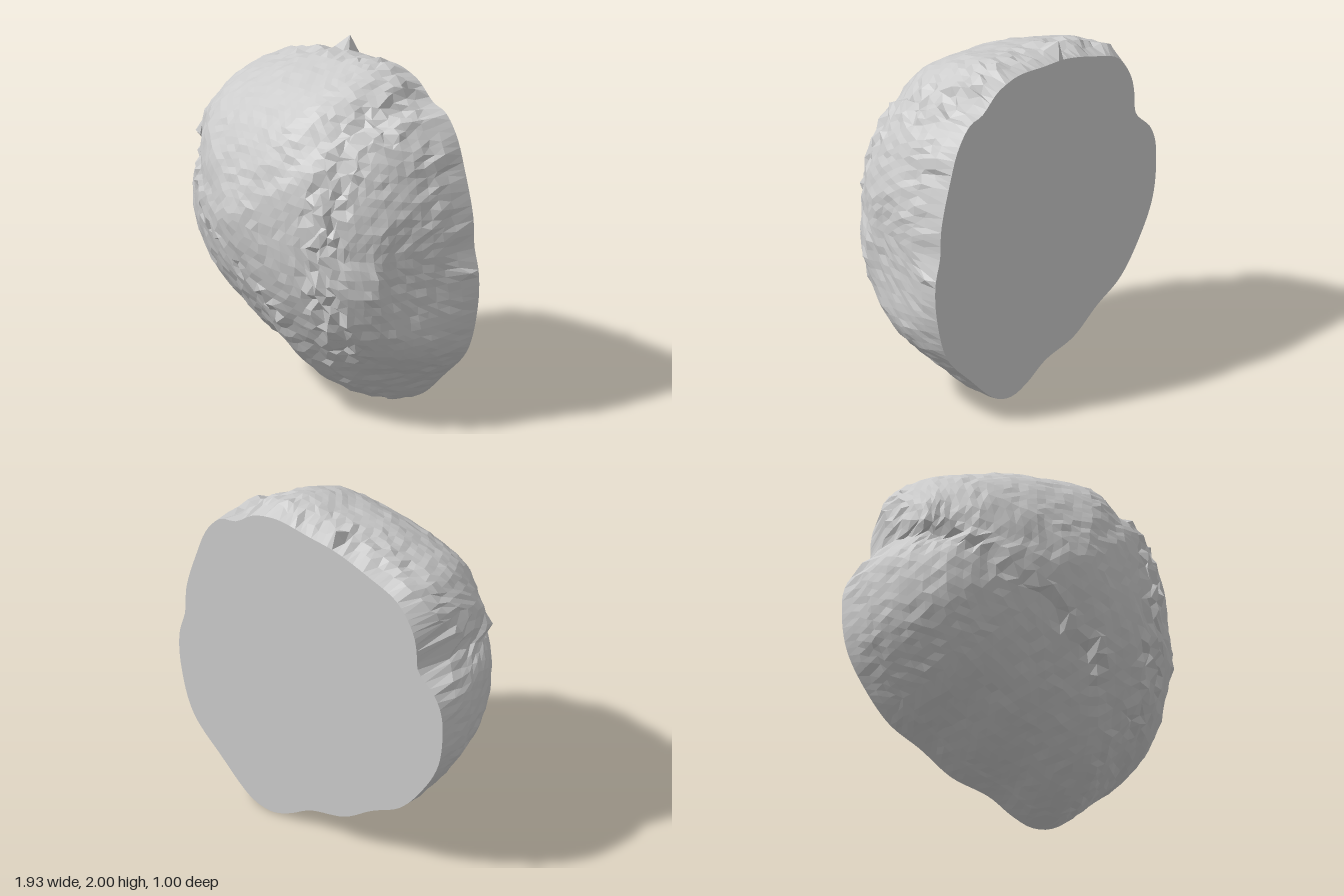
import * as THREE from 'three';

const BACK = -0.495, DEPTH = 0.995;
const CENTRE = new THREE.Vector2(0, 1.17);
const { smoothstep } = THREE.MathUtils;

// Widest contour of the rock, clockwise from the top
const OUTLINE = [
  [0.28, 1.98], [0.42, 1.93], [0.55, 1.8], [0.65, 1.77], [0.75, 1.66], [0.83, 1.46],
  [0.9, 1.22], [0.91, 1.05], [0.95, 0.9], [0.94, 0.7], [0.85, 0.42], [0.65, 0.22],
  [0.42, 0.03], [0.28, 0], [0.15, 0.04], [0, 0.12], [-0.25, 0.18], [-0.45, 0.3],
  [-0.65, 0.4], [-0.8, 0.56], [-0.93, 0.78], [-0.965, 1.0], [-0.94, 1.22], [-0.84, 1.36],
  [-0.83, 1.5], [-0.8, 1.62], [-0.68, 1.78], [-0.45, 1.87], [-0.2, 1.94], [0, 1.96],
];

// Small chips that stick out of the surface
const CHIPS = [
  [-0.16, 2.0, -0.46], [0.965, 0.92, -0.43], [0.81, 0.85, 0.15],
  [0.57, 0.9, 0.36], [-0.81, 1.38, 0.12],
];

function seeded(seed) {
  return () => {
    seed = (seed * 16807) % 2147483647;
    return seed / 2147483647 - 0.5;
  };
}

// Signed distance above the diagonal crack across the front
const aboveCrack = (x, y) => (y - (1.38 - 0.72 * (x + 0.8))) * 0.81;

// Point of the dome on the ray through contour point p; u runs from 0 (front) to 1 (rim)
function domePoint(p, u) {
  const dx = p.x - CENTRE.x, dy = p.y - CENTRE.y, len = Math.hypot(dx, dy);
  const cx = dx / len, cy = dy / len;
  const phi = (1 - u) * Math.PI / 2, up = Math.sin(phi);

  // Sides are boxier, the underside tapers more
  let power = cx * cx * (cx > 0 ? 0.69 : 0.76) + cy * cy * (cy > 0 ? 0.87 : 1.05);
  // Upright wall of the upper slab on the right-hand side
  const wall = Math.exp(-Math.pow((Math.atan2(cy, -cx) - 0.33) / 0.25, 2));
  power -= 0.3 * wall * (1 - smoothstep(up, 0.3, 0.65));

  // Slightly pointed front
  const h = Math.pow(up, power)
    - 0.025 * smoothstep(u, 0, 0.2) * (1 - smoothstep(u, 0.3, 0.6));
  // The top curls inward just before the flat back
  const curl = smoothstep(cy, -0.1, 0.3) * (1 - smoothstep(cx, 0.35, 0.75))
    * (1 - smoothstep(h, 0, 0.14));
  const r = Math.cos(phi) * (1 - 0.065 * curl);
  const z = BACK + DEPTH * h;
  // Steep flank on the left-hand side
  const x = Math.min(CENTRE.x + dx * r, 0.82 - 0.3 * Math.min(z, 0));
  return new THREE.Vector3(x, CENTRE.y + dy * r, z);
}

function rockGeometry() {
  const SECTORS = 5, RINGS = 30;
  const rand = seeded(4711);
  const curve = new THREE.CatmullRomCurve3(
    OUTLINE.map(([x, y]) => new THREE.Vector3(x, y, 0)), true, 'centripetal');
  const id = (k, n) => (k === 0 ? 0 : 1 + SECTORS * k * (k - 1) / 2 + n % (SECTORS * k));
  const verts = [new THREE.Vector3(CENTRE.x, CENTRE.y, BACK + DEPTH)];

  // Ring k holds k points per sector, so that the facets stay even in size
  for (let k = 1; k <= RINGS; k++) {
    const u = k / RINGS, count = SECTORS * k;
    for (let n = 0; n < count; n++) {
      const v = domePoint(curve.getPointAt(n / count), u);
      if (k < RINGS) {
        // Stepped ledge along the crack, and a broken band down the left side
        const s = aboveCrack(v.x, v.y), onFront = v.x < 0.4 && u < 0.9;
        if (onFront) v.z -= 0.025 * (1 - smoothstep(s, -0.03, 0.03));
        const broken = (onFront && Math.abs(s) < 0.05) ||
          (Math.abs(v.x - 0.57) < 0.11 && v.y > 0.4);
        const rough = broken ? 0.045 : u > 0.88 && v.y > 1.2 ? 0.03 : 0.012;
        v.add(new THREE.Vector3(rand(), rand(), rand()).multiplyScalar(rough));
        v.z = Math.max(v.z, BACK);
      }
      verts.push(v);
    }
  }

  // Pull the nearest vertex out to each chip
  const inner = verts.slice(0, id(RINGS, 0));
  for (const c of CHIPS) {
    const tip = new THREE.Vector3(...c);
    inner.reduce((p, q) => (q.distanceTo(tip) < p.distanceTo(tip) ? q : p)).copy(tip);
  }

  // Dome facets
  const index = [];
  for (let k = 1; k <= RINGS; k++) {
    for (let s = 0; s < SECTORS; s++) {
      for (let i = 0; i < k; i++) {
        const o = s * k + i, n = s * (k - 1) + i;
        index.push(id(k, o), id(k - 1, n), id(k, o + 1));
        if (i < k - 1) index.push(id(k - 1, n), id(k - 1, n + 1), id(k, o + 1));
      }
    }
  }

  // Flat back
  const hub = verts.push(new THREE.Vector3(CENTRE.x, CENTRE.y, BACK)) - 1;
  for (let n = 0; n < SECTORS * RINGS; n++) index.push(id(RINGS, n), id(RINGS, n + 1), hub);

  const g = new THREE.BufferGeometry().setFromPoints(verts);
  g.setIndex(index);
  g.computeVertexNormals();
  return g;
}

export function createModel() {
  const group = new THREE.Group();
  group.name = 'halfBoulder';
  const rock = new THREE.Mesh(rockGeometry(),
    new THREE.MeshStandardMaterial({ color: 0xcccccc, flatShading: true }));
  rock.name = 'rock';
  group.add(rock);
  return group;
}
